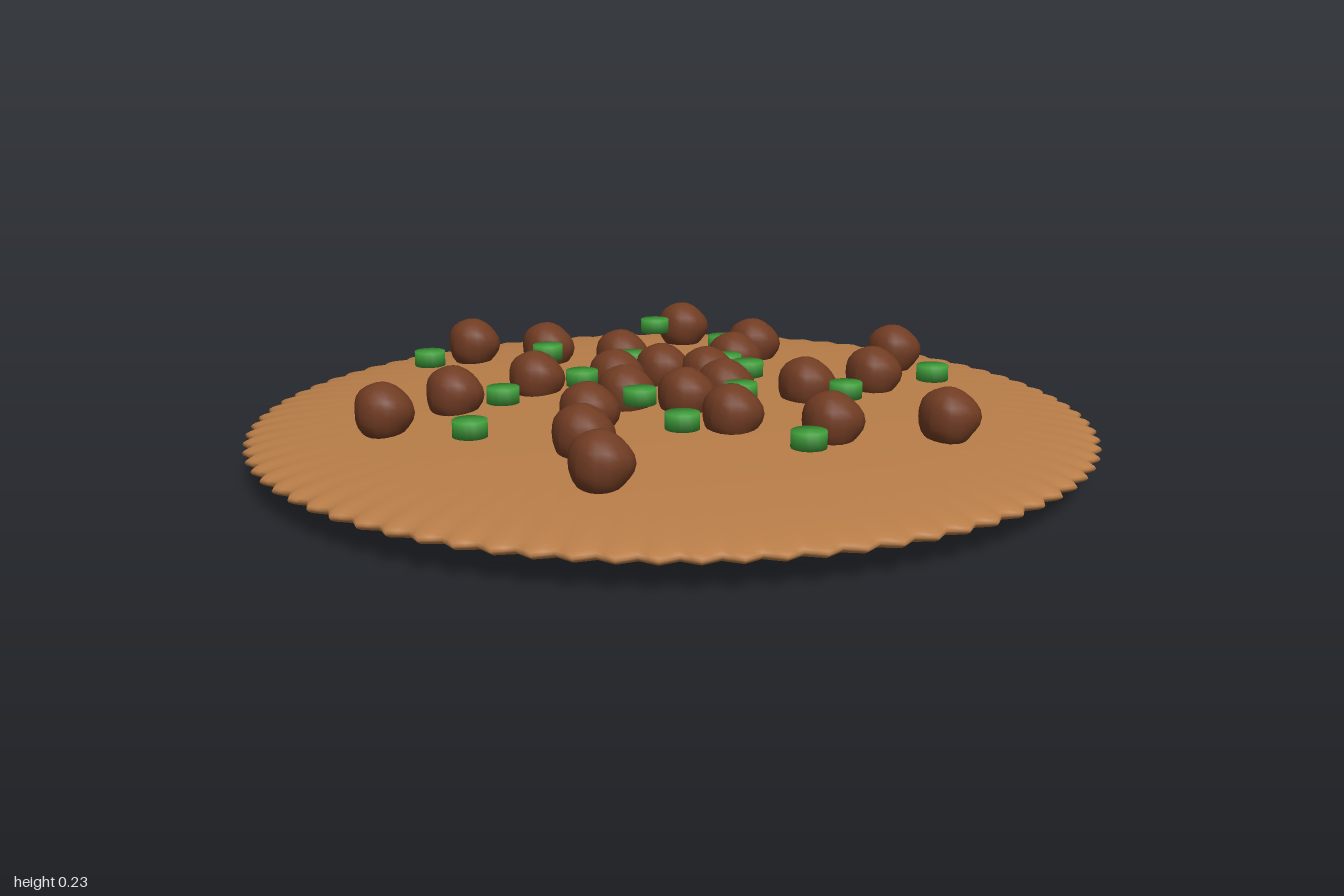
import * as THREE from 'three';

const baseMat = new THREE.MeshStandardMaterial({ color: 0xb87d48 });
baseMat.name = 'bakedTan';
const chunkMat = new THREE.MeshStandardMaterial({ color: 0x713c23 });
chunkMat.name = 'chunkBrown';
const greenMat = new THREE.MeshStandardMaterial({ color: 0x3f9c3a });
greenMat.name = 'garnishGreen';

// Positions on the disc as [x, z]
const CHUNKS = [
  [-0.11, -0.69], [0.01, -0.52], [0.47, -0.51], [0.1, -0.32], [-0.22, -0.25], [-0.46, -0.24],
  [-0.67, -0.2], [0.46, -0.21], [-0.06, -0.14], [0.07, -0.12], [0.3, -0.11], [0.13, -0.02],
  [-0.15, 0.01], [-0.32, 0.09], [-0.06, 0.12], [0.07, 0.11], [0.68, 0.09], [-0.45, 0.24],
  [-0.09, 0.31], [0.23, 0.22], [0.44, 0.24], [-0.55, 0.43], [0.03, 0.5], [0.25, 0.64],
];
const GREENS = [
  [-0.33, -0.55], [0.37, -0.51], [-0.06, -0.42], [0.05, -0.21], [0.36, -0.22], [-0.17, -0.13],
  [-0.41, -0.11], [0.21, -0.04], [0.2, 0.05], [-0.63, 0.09], [-0.18, 0.1], [0.03, 0.21],
  [-0.25, 0.33], [0.22, 0.36], [0.51, 0.37], [-0.15, 0.61],
];

// Moves every vertex of a geometry by a rule and refreshes its normals
function reshape(geometry, rule) {
  const p = geometry.attributes.position;
  const v = new THREE.Vector3();
  for (let i = 0; i < p.count; i++) {
    rule(v.fromBufferAttribute(p, i));
    p.setXYZ(i, v.x, v.y, v.z);
  }
  geometry.computeVertexNormals();
  return geometry;
}

// Flattened round base with a crimped rim
function makeBase() {
  const teeth = 80;
  const geometry = reshape(new THREE.SphereGeometry(1, teeth * 4, 40), (v) => {
    const r = Math.hypot(v.x, v.z);
    const wave = Math.sin(teeth * Math.atan2(v.z, v.x));
    const s = 0.987 + 0.012 * wave * r ** 6;
    v.set(v.x * s, v.y * 0.067, v.z * s);
  });
  const base = new THREE.Mesh(geometry, baseMat);
  base.name = 'base';
  base.position.y = 0.072;
  return base;
}

// Lumpy, smooth-shaded chunk: narrower to the back, with a soft peak
function makeChunkGeometry() {
  return reshape(new THREE.SphereGeometry(0.066, 16, 12), (v) => {
    const { x, y, z } = v.clone().divideScalar(0.066);
    const bump = 1 + 0.05 * Math.sin(3 * x + 1.2) * Math.cos(3 * z) + 0.04 * Math.sin(4 * y + 2 * x);
    v.multiplyScalar(bump);
    v.x *= 1 + 0.08 * z;
    v.z *= 1.06;
  });
}

// Short pellet with softened shading
function makePelletGeometry() {
  const r = 0.038, h = 0.018;
  const profile = [[0, -h], [r, -h], [r, h], [0, h]].map(([x, y]) => new THREE.Vector2(x, y));
  return new THREE.LatheGeometry(profile, 16);
}

function scatter(name, geometry, material, spots, y) {
  const group = new THREE.Group();
  group.name = name + 's';
  for (const [x, z] of spots) {
    const mesh = new THREE.Mesh(geometry, material);
    mesh.name = name;
    mesh.position.set(x, y, z);
    group.add(mesh);
  }
  return group;
}

export function createModel() {
  const model = new THREE.Group();
  model.name = 'toppedFlatbread';
  model.add(makeBase());
  model.add(scatter('meatChunk', makeChunkGeometry(), chunkMat, CHUNKS, 0.167));
  model.add(scatter('greenPiece', makePelletGeometry(), greenMat, GREENS, 0.182));
  return model;
}
